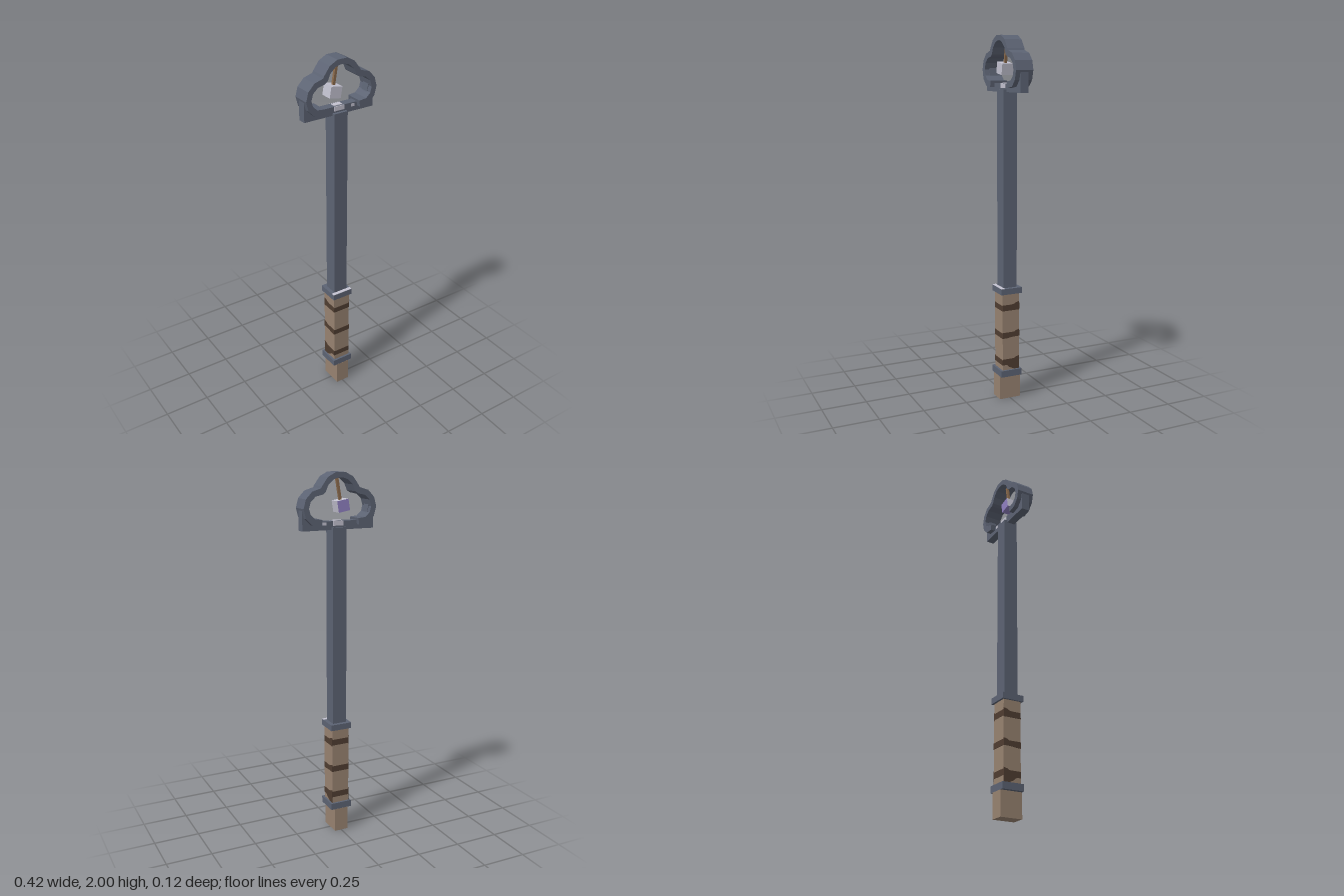
import * as THREE from 'three';

const material = (name, color) => {
  const m = new THREE.MeshStandardMaterial({ color });
  m.name = name;
  return m;
};

export function createModel() {
  const model = new THREE.Group();
  model.name = 'cloudStaff';
  const slate = material('slate metal', 0x5c6373);
  const wood = material('tan wrap', 0x978270);
  const dark = material('dark brown bands', 0x4f3d31);
  const pale = material('pale silver', 0xc3c2d0);
  const violet = material('violet', 0x8f7fc0);
  const rope = material('rope brown', 0x8a6a4c);

  const add = (name, geometry, mat, x = 0, y = 0, z = 0, parent = model) => {
    const mesh = new THREE.Mesh(geometry, mat);
    mesh.name = name;
    mesh.position.set(x, y, z);
    parent.add(mesh);
    return mesh;
  };
  // Box spanning y0 to y1
  const bar = (name, mat, w, y0, y1, d, x = 0, z = 0) =>
    add(name, new THREE.BoxGeometry(w, y1 - y0, d), mat, x, (y0 + y1) / 2, z);
  // Flat outline extruded evenly to both sides of z = 0
  const slab = (points, depth) => {
    const shape = new THREE.Shape(points.map(([x, y]) => new THREE.Vector2(x, y)));
    return new THREE.ExtrudeGeometry(shape, { depth, bevelEnabled: false }).translate(0, 0, -depth / 2);
  };
  // Completes a right-hand list of points with its mirror image
  const mirrored = (half) => [...half, ...half.slice().reverse().map(([x, y]) => [-x, y])];

  // Handle and shaft
  bar('butt', wood, 0.08, 0, 0.135, 0.125);
  bar('lowerCollar', slate, 0.122, 0.135, 0.172, 0.124);
  bar('grip', wood, 0.1, 0.172, 0.61, 0.1);
  bar('upperCollar', slate, 0.122, 0.61, 0.643, 0.124);
  bar('collarHighlight', pale, 0.12, 0.642, 0.645, 0.02, 0, 0.051);
  bar('shaft', slate, 0.08, 0.643, 1.718, 0.08);

  // Wrap bands: straight on front and back, stepped on the sides
  const bands = [
    { y: 0.515, drop: 0.515, rise: 0.563 },
    { y: 0.357, drop: 0.362, rise: 0.402 },
    { y: 0.202, drop: 0.173, rise: 0.248 },
  ];
  for (const { y, drop, rise } of bands) {
    const top = y + 0.03;
    bar('frontBand', dark, 0.1, y, top, 0.004, 0, 0.05);
    bar('backBand', dark, 0.1, y + 0.005, top + 0.008, 0.004, 0, -0.05);
    const outline = [
      [-0.05, y], [-0.025, y], [-0.01, (y + drop) / 2], [0.02, drop], [0.05, drop],
      [0.05, rise], [0.03, rise - 0.005], [0.02, rise - 0.012], [0, top + 0.003], [-0.05, top + 0.003],
    ];
    for (const side of [1, -1]) {
      const band = add('sideBand', slab(outline, 0.004), dark, side * 0.05);
      band.rotation.y = Math.PI / 2;
    }
  }

  // Open cloud frame
  const outer = [
    [0.108, 1.728], [0.16, 1.735], [0.195, 1.77], [0.208, 1.82], [0.195, 1.868],
    [0.16, 1.905], [0.11, 1.92], [0.105, 1.93], [0.072, 1.975], [0.028, 1.998],
  ];
  const inner = [
    [0.104, 1.762], [0.145, 1.766], [0.17, 1.79], [0.178, 1.82], [0.168, 1.855],
    [0.14, 1.88], [0.1, 1.889], [0.085, 1.9], [0.07, 1.935], [0.04, 1.962], [0.012, 1.971],
  ];
  add('cloudFrame', slab([...mirrored(outer), ...mirrored(inner).reverse()], 0.098), slate);

  // Narrow cradle below the cloud
  const cradle = mirrored([[0.205, 1.705], [0.205, 1.83], [0.176, 1.83], [0.168, 1.79], [0.145, 1.75]]);
  add('cradle', slab(cradle, 0.046), slate);

  // Pale inlays on both faces of the cradle
  for (const z of [0.023, -0.023]) {
    bar('centreInlay', pale, 0.06, 1.726, 1.75, 0.004, 0, z);
    bar('smallInlay', pale, 0.02, 1.73, 1.745, 0.004, 0.08, z);
  }
  bar('topInlay', pale, 0.05, 1.749, 1.753, 0.03);

  // Hanging charm
  const pendant = new THREE.Group();
  pendant.name = 'pendant';
  pendant.position.set(0, 1.975, 0);
  pendant.rotation.z = -0.17;
  model.add(pendant);
  add('cord', new THREE.BoxGeometry(0.014, 0.12, 0.014), rope, 0, -0.06, 0, pendant);
  add('charm', new THREE.BoxGeometry(0.066, 0.06, 0.066),
    [pale, pale, pale, violet, pale, violet], 0, -0.15, 0, pendant);

  return model;
}
